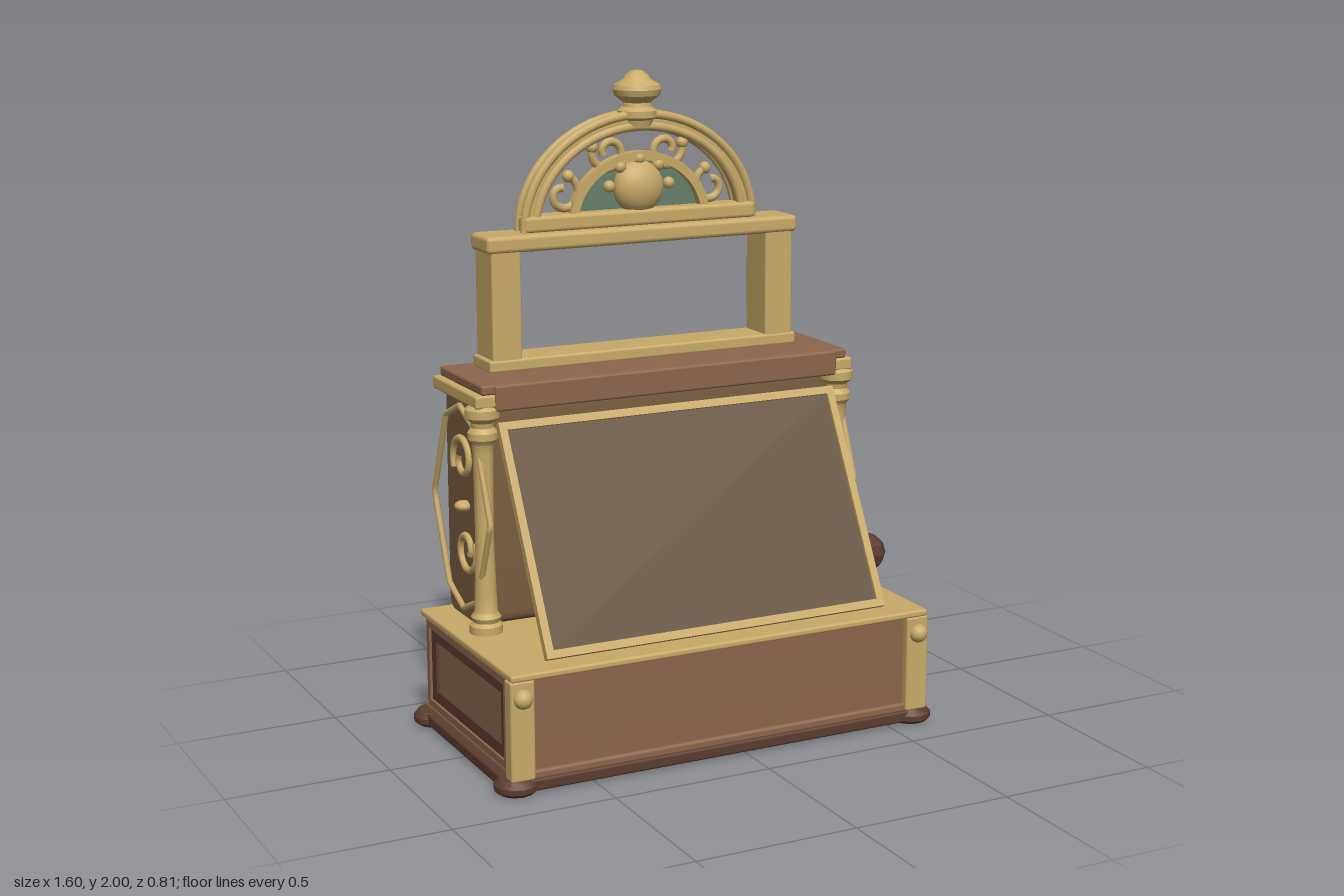
import * as THREE from 'three';
import { RoundedBoxGeometry } from 'three/addons/geometries/RoundedBoxGeometry.js';
import { toCreasedNormals } from 'three/addons/utils/BufferGeometryUtils.js';

const mat = (color) => new THREE.MeshStandardMaterial({ color });
const gold = mat(0xc9aa68), wood = mat(0x8d664c), cabinetWood = mat(0x7a5d40);
const screenWood = mat(0x63503a), dark = mat(0x5c3c2f), green = mat(0x66806c);
const darkFacet = mat(0x5c3c2f);
darkFacet.flatShading = true;

const V = (x, y, z = 0) => new THREE.Vector3(x, y, z);

export function createModel() {
  const model = new THREE.Group();
  const body = new THREE.Group();
  body.name = 'machine';
  body.position.x = -0.07;
  model.add(body);

  const add = (name, geo, material, x = 0, y = 0, z = 0, parent = body) => {
    const mesh = new THREE.Mesh(geo, material);
    mesh.name = name;
    mesh.position.set(x, y, z);
    parent.add(mesh);
    return mesh;
  };
  // Softly bevelled box given by its extents
  const box = (name, material, x0, x1, y0, y1, z0, z1, bevel = 0.008, parent = body) =>
    add(name, new RoundedBoxGeometry(x1 - x0, y1 - y0, z1 - z0, 2, bevel), material,
      (x0 + x1) / 2, (y0 + y1) / 2, (z0 + z1) / 2, parent);
  const lathe = (name, pts, material, x, y, z, sides = 20, parent = body) =>
    add(name, toCreasedNormals(new THREE.LatheGeometry(pts.map(([r, h]) => new THREE.Vector2(r, h)), sides), 0.6),
      material, x, y, z, parent);
  const rect = (Kind, w, h) => {
    const s = new Kind();
    s.moveTo(-w / 2, -h / 2); s.lineTo(w / 2, -h / 2); s.lineTo(w / 2, h / 2); s.lineTo(-w / 2, h / 2);
    s.closePath();
    return s;
  };
  const frame = (w, h, border, depth) => {
    const s = rect(THREE.Shape, w, h);
    s.holes.push(rect(THREE.Path, w - 2 * border, h - 2 * border));
    return new THREE.ExtrudeGeometry(s, { depth, bevelEnabled: false });
  };
  // Spiral scroll in the xy plane, curling inward from its start angle
  const curl = (r, start, turns, thick) => {
    const pts = [];
    for (let i = 0; i <= 16; i++) {
      const t = i / 16, a = start + turns * Math.PI * 2 * t, q = r * (1 - 0.65 * t);
      pts.push(V(q * Math.cos(a), q * Math.sin(a)));
    }
    return new THREE.TubeGeometry(new THREE.CatmullRomCurve3(pts), 36, thick, 8);
  };

  // Base
  box('plinth', dark, -0.705, 0.705, 0.008, 0.045, -0.365, 0.37);
  box('baseMoulding', wood, -0.69, 0.69, 0.04, 0.068, -0.34, 0.362);
  box('baseBox', wood, -0.675, 0.675, 0.045, 0.35, -0.325, 0.35);
  box('baseTop', gold, -0.695, 0.695, 0.345, 0.367, -0.345, 0.375);
  for (const s of [-1, 1]) {
    box('cornerPost', gold, s * 0.66 - 0.038, s * 0.66 + 0.038, 0.045, 0.348, 0.325, 0.375);
    add('postStud', new THREE.SphereGeometry(0.029, 16, 12), gold, s * 0.66, 0.295, 0.375);
    for (const z of [-0.32, 0.325])
      lathe('foot', [[0, 0], [0.052, 0], [0.066, 0.012], [0.066, 0.028], [0.05, 0.046], [0, 0.046]],
        dark, s * 0.665, 0, z, 12);

    // Panelled base ends
    const end = new THREE.Group();
    end.name = 'baseEndPanel';
    end.position.set(s * 0.674, 0.207, 0.012);
    end.rotation.y = s * Math.PI / 2;
    body.add(end);
    add('outerFrame', frame(0.63, 0.275, 0.022, 0.018), wood, 0, 0, 0, end);
    add('innerFrame', frame(0.586, 0.231, 0.036, 0.01), dark, 0, 0, 0, end);
  }

  // Cabinet with rounded ends, extruded along x
  const u0 = 0.075, u1 = 0.328, v0 = 0.367, v1 = 1.06, r = 0.04;
  const profile = new THREE.Shape();
  profile.moveTo(u0 + r, v0);
  profile.lineTo(u1 - r, v0); profile.quadraticCurveTo(u1, v0, u1, v0 + r);
  profile.lineTo(u1, v1 - r); profile.quadraticCurveTo(u1, v1, u1 - r, v1);
  profile.lineTo(u0 + r, v1); profile.quadraticCurveTo(u0, v1, u0, v1 - r);
  profile.lineTo(u0, v0 + r); profile.quadraticCurveTo(u0, v0, u0 + r, v0);
  const cabGeo = new THREE.ExtrudeGeometry(profile, { depth: 1.2, bevelEnabled: false, curveSegments: 6 });
  cabGeo.rotateY(Math.PI / 2);
  add('cabinet', toCreasedNormals(cabGeo, 0.5), cabinetWood, -0.6, 0, 0);

  // Sloping front panel in its frame
  const slope = new THREE.Group();
  slope.name = 'slopingPanel';
  slope.position.set(0, 0.692, 0.152);
  slope.rotation.x = -0.495;
  body.add(slope);
  add('panelFrame', frame(1.13, 0.71, 0.024, 0.024), gold, 0, 0, -0.008, slope);
  box('panel', screenWood, -0.545, 0.545, -0.335, 0.335, -0.008, 0.006, 0.003, slope);

  // Side columns, rings and scrolls
  const column = [[0, 0], [0.05, 0], [0.05, 0.025], [0.04, 0.035], [0.046, 0.05], [0.035, 0.065], [0.033, 0.12],
    [0.028, 0.3], [0.031, 0.55], [0.034, 0.58], [0.045, 0.595], [0.045, 0.615], [0.034, 0.63],
    [0.036, 0.645], [0.052, 0.66], [0.052, 0.685], [0.04, 0.695], [0, 0.695]];
  const ringPts = [[0.225, 0], [0.115, 0.265], [0, 0.315], [-0.115, 0.265], [-0.225, 0],
    [-0.115, -0.265], [0, -0.315], [0.115, -0.265]].map(([z, y]) => V(0, y, z));
  const ringPath = new THREE.CurvePath();
  ringPts.forEach((p, i) => ringPath.add(new THREE.LineCurve3(p, ringPts[(i + 1) % 8])));
  const ringGeo = new THREE.TubeGeometry(ringPath, 64, 0.01, 6, true);
  for (const s of [-1, 1]) {
    lathe('column', column, gold, s * 0.6, 0.366, -0.04);
    add('sideRing', ringGeo, gold, s * 0.617, 0.72, -0.175);
    const top = add('sideScroll', curl(0.078, -0.5, 1.15, 0.011), gold, s * 0.606, 0.865, -0.19);
    const low = add('sideScroll', curl(0.078, 2.64, 1.15, 0.011), gold, s * 0.606, 0.59, -0.165);
    top.rotation.y = low.rotation.y = Math.PI / 2;
  }
  const boss = add('sideBoss', new THREE.SphereGeometry(0.028, 14, 10), gold, -0.612, 0.725, -0.175);
  boss.scale.y = 0.6;

  // Crank lever on the left side
  const lever = new THREE.Group();
  lever.name = 'lever';
  body.add(lever);
  lathe('leverMount', [[0, -0.045], [0.04, -0.04], [0.055, -0.015], [0.095, -0.008], [0.097, 0.008], [0.075, 0.02], [0, 0.026]],
    gold, 0.628, 0.745, -0.178, 24, lever);
  const arm = new THREE.CatmullRomCurve3([V(0.64, 0.735, -0.178), V(0.69, 0.66, -0.178), V(0.745, 0.56, -0.178), V(0.79, 0.43, -0.178)]);
  add('leverArm', new THREE.TubeGeometry(arm, 20, 0.025, 10), gold, 0, 0, 0, lever);
  add('leverKnob', new THREE.SphereGeometry(0.07, 9, 6), darkFacet, 0.8, 0.393, -0.178, lever).scale.y = 0.92;

  // Cornice
  box('corniceSlab', gold, -0.635, 0.635, 1.056, 1.096, -0.35, 0);
  box('corniceFront', wood, -0.575, 0.575, 1.045, 1.124, -0.06, 0.006);
  box('corniceTop', wood, -0.615, 0.615, 1.094, 1.125, -0.338, -0.004);

  // Open sign frame
  box('signSill', gold, -0.522, 0.522, 1.122, 1.16, -0.3, -0.163);
  box('signHead', gold, -0.524, 0.524, 1.48, 1.532, -0.3, -0.16, 0.014);
  for (const s of [-1, 1])
    box('signPost', gold, s * 0.462 - 0.048, s * 0.462 + 0.048, 1.15, 1.49, -0.297, -0.166);

  // Arched crest
  const crest = new THREE.Group();
  crest.name = 'crest';
  crest.position.set(0, 1.53, -0.23);
  body.add(crest);
  box('crestBar', gold, -0.39, 0.39, 0, 0.05, -0.04, 0.04, 0.012, crest);
  const arch = (rx, ry, width, depth) => {
    const s = new THREE.Shape();
    s.absellipse(0, 0, rx, ry, 0, Math.PI, false);
    if (width) s.absellipse(0, 0, rx - width, ry - width, Math.PI, 0, true);
    s.closePath();
    const g = new THREE.ExtrudeGeometry(s, { depth, bevelEnabled: false, curveSegments: 32 });
    g.translate(0, 0, -depth / 2);
    return toCreasedNormals(g, 0.5);
  };
  add('archBand', arch(0.388, 0.342, 0.045, 0.05), gold, 0, 0, 0, crest);
  for (const k of [0, 0.036]) {
    const pts = [];
    for (let i = 0; i <= 24; i++) {
      const a = Math.PI * i / 24;
      pts.push(V((0.386 - k) * Math.cos(a), (0.337 - k) * Math.sin(a)));
    }
    const rim = new THREE.TubeGeometry(new THREE.CatmullRomCurve3(pts), 48, 0.014, 8);
    for (const z of [-0.022, 0.022]) add('archRim', rim, gold, 0, 0, z, crest);
  }
  add('fanlight', arch(0.215, 0.19, 0, 0.02), green, 0, 0.02, -0.016, crest);
  add('fanlightRim', arch(0.235, 0.205, 0.028, 0.03), gold, 0, 0.02, 0.008, crest);
  add('medallion', new THREE.SphereGeometry(0.082, 24, 16), gold, 0, 0.115, 0.005, crest).scale.z = 0.65;
  for (let i = 0; i < 5; i++) {
    const a = Math.PI * (0.07 + 0.215 * i);
    add('bead', new THREE.SphereGeometry(0.019, 12, 8), gold, 0.103 * Math.cos(a), 0.1 + 0.103 * Math.sin(a), 0.012, crest);
  }
  const scrolls = [[0.25, 0.105, 0.058, 1.9, 0.95], [0.095, 0.225, 0.06, 0.3, -1.1]];
  for (const s of [-1, 1])
    for (const [x, y, rad, start, turns] of scrolls) {
      const a = s > 0 ? start : Math.PI - start;
      add('crestScroll', curl(rad, a, s * turns, 0.013), gold, s * x, y, 0, crest);
      add('scrollTip', new THREE.SphereGeometry(0.019, 12, 8), gold,
        s * x + rad * Math.cos(a), y + rad * Math.sin(a), 0, crest);
    }

  // Finial
  lathe('finial', [[0, 0], [0.045, 0], [0.05, 0.02], [0.06, 0.028], [0.06, 0.048], [0.045, 0.06], [0.042, 0.072],
    [0.07, 0.094], [0.075, 0.112], [0.07, 0.126], [0.042, 0.142], [0.034, 0.155], [0.018, 0.167], [0, 0.17]],
    gold, 0, 1.83, -0.23, 24);

  return model;
}
